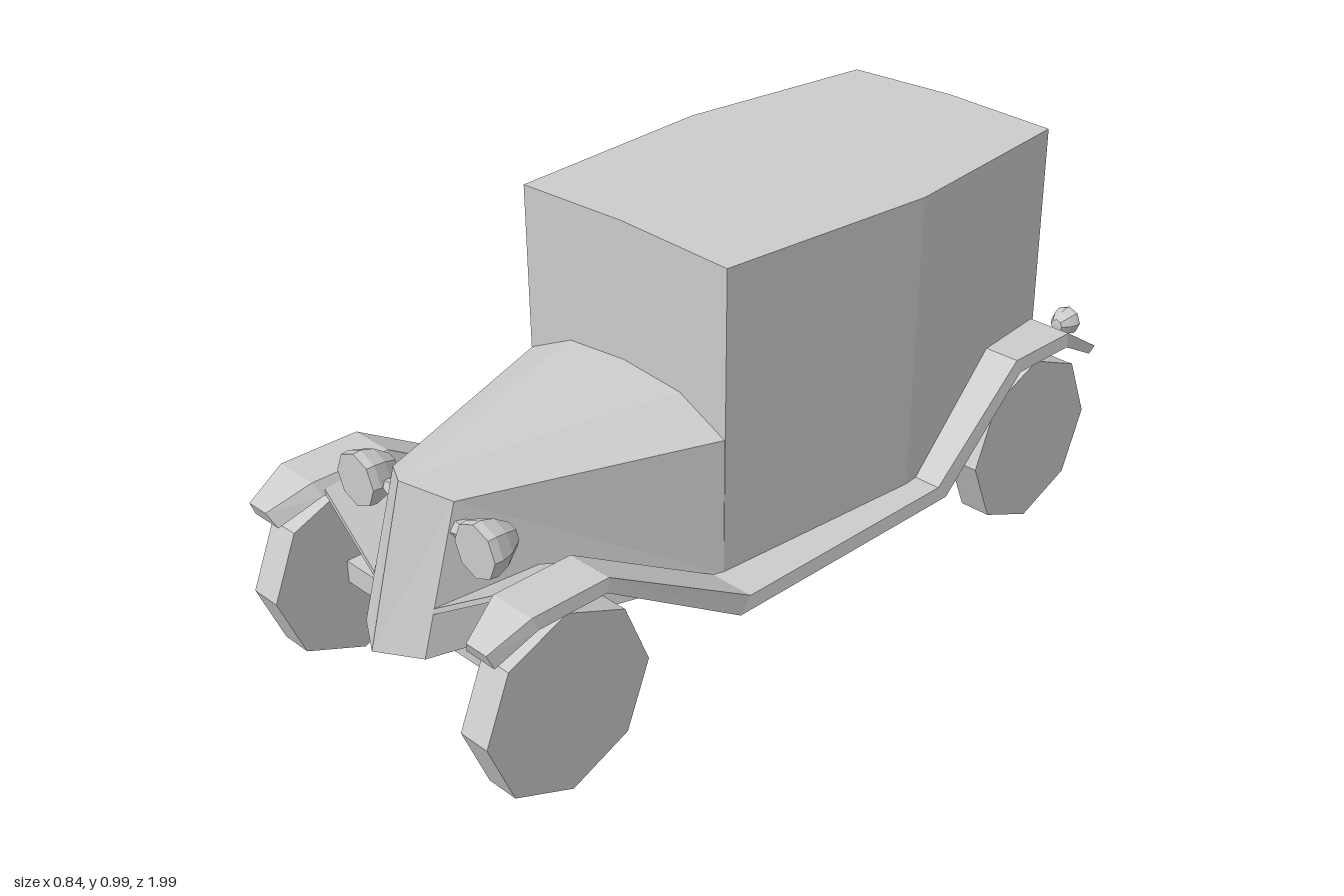
import * as THREE from 'three';

const material = new THREE.MeshStandardMaterial({ color: 0xcccccc, flatShading: true, side: THREE.DoubleSide });

// Solid through cross-sections ordered from back to front, corners counter-clockwise seen from +z
function loft(sections) {
  const pos = [];
  const tri = (a, b, c) => {
    const [p, q, r] = [a, b, c].map((v) => new THREE.Vector3(...v));
    if (q.clone().sub(p).cross(r.clone().sub(p)).length() > 1e-8) pos.push(...a, ...b, ...c);
  };
  for (let s = 0; s < sections.length - 1; s++) {
    const a = sections[s], b = sections[s + 1];
    for (let i = 0; i < a.length; i++) {
      const j = (i + 1) % a.length;
      tri(a[i], a[j], b[j]);
      tri(a[i], b[j], b[i]);
    }
  }
  const back = sections[0], front = sections[sections.length - 1];
  for (let i = 1; i < back.length - 1; i++) {
    tri(back[0], back[i + 1], back[i]);
    tri(front[0], front[i], front[i + 1]);
  }
  const geometry = new THREE.BufferGeometry();
  geometry.setAttribute('position', new THREE.Float32BufferAttribute(pos, 3));
  geometry.computeVertexNormals();
  return geometry;
}

// Reflects sections across x = 0 when side is -1
const sided = (sections, side) => side > 0 ? sections
  : sections.map((s) => s.map(([x, y, z]) => [-x, y, z]).reverse());

// Eight-sided lamp with its flat lens facing +z
function lampGeometry(r) {
  const profile = [[0, -1.45], [0.45, -1.4], [0.85, -0.8], [1, -0.3], [0.97, 0], [0, 0]];
  return new THREE.LatheGeometry(profile.map(([x, y]) => new THREE.Vector2(x * r, y * r)), 8).rotateX(Math.PI / 2);
}

export function createModel() {
  const model = new THREE.Group();
  const add = (name, geometry, x = 0, y = 0, z = 0) => {
    const mesh = new THREE.Mesh(geometry, material);
    mesh.name = name;
    mesh.position.set(x, y, z);
    model.add(mesh);
    return mesh;
  };

  // Cabin: bulging sides and a shallow peaked roof
  add('cabin', loft([[-0.84, 0.3, 0.3], [-0.31, 0.35, 0.36], [0.26, 0.31, 0.315]].map(([z, low, high]) => [
    [-low, 0.245, z], [low, 0.245, z], [high, 0.98, z], [0, 0.99, z], [-high, 0.98, z],
  ])));

  // Hood tapering to a V-shaped radiator that leans back
  add('hood', loft([
    [[0, 0.245, 0.26], [0.31, 0.245, 0.26], [0.31, 0.58, 0.26], [0.175, 0.645, 0.26],
      [0, 0.66, 0.26], [-0.175, 0.645, 0.26], [-0.31, 0.58, 0.26], [-0.31, 0.245, 0.26]],
    [[0, 0.245, 0.98], [0.1, 0.245, 0.92], [0.1, 0.58, 0.82], [0, 0.612, 0.88],
      [0, 0.612, 0.88], [0, 0.612, 0.88], [-0.1, 0.58, 0.82], [-0.1, 0.245, 0.92]],
  ]));

  add('floor', new THREE.BoxGeometry(0.72, 0.033, 0.66), 0, 0.233, -0.03);

  // Fender stations: top z, top y, bottom z, bottom y, inner x, outer x
  const fender = [
    [-0.99, 0.385, -0.96, 0.375, 0.29, 0.395],
    [-0.83, 0.485, -0.82, 0.452, 0.28, 0.42],
    [-0.625, 0.485, -0.635, 0.452, 0.28, 0.42],
    [-0.35, 0.25, -0.375, 0.217, 0.28, 0.42],
    [0.285, 0.25, 0.32, 0.217, 0.28, 0.42],
    [0.69, 0.485, 0.7, 0.455, 0.28, 0.42],
    [0.89, 0.485, 0.88, 0.455, 0.28, 0.42],
    [0.99, 0.437, 0.975, 0.402, 0.315, 0.4],
  ].map(([zt, yt, zb, yb, xi, xo]) => [
    [xo, yb, zb], [xo - 0.005, yt, zt], [xi + 0.02, yt, zt], [xi, yb, zb],
  ]);

  // Apron stations: outer point and inner point of the sheet between fender and hood
  const apron = [
    [[0.31, 0.235, 0.31], [0.25, 0.225, 0.33]],
    [[0.3, 0.468, 0.69], [0.16, 0.385, 0.66]],
    [[0.285, 0.468, 0.87], [0.1, 0.355, 0.89]],
  ].map(([o, i]) => [
    [o[0], o[1] - 0.014, o[2]], o, i, [i[0], i[1] - 0.014, i[2]],
  ]);

  for (const side of [1, -1]) {
    const label = side > 0 ? 'left' : 'right';
    add(label + 'FenderAndRunningBoard', loft(sided(fender, side)));
    add(label + 'Apron', loft(sided(apron, side)));

    // Headlamp and its bracket
    add(label + 'Headlamp', lampGeometry(0.065), side * 0.197, 0.518, 0.85);
    const bracket = new THREE.CylinderGeometry(0.012, 0.028, 0.05, 6).rotateZ(-side * Math.PI / 2);
    add(label + 'HeadlampBracket', bracket, side * 0.12, 0.515, 0.81);

    // Tail lamp facing backwards
    add(label + 'TailLamp', lampGeometry(0.036).rotateY(Math.PI), side * 0.348, 0.467, -0.925);
  }

  // Wheels and axles
  for (const [end, z] of [['front', 0.785], ['rear', -0.735]]) {
    for (const side of [1, -1]) {
      const wheel = new THREE.CylinderGeometry(0.217, 0.217, 0.08, 8).rotateZ(Math.PI / 2);
      add(end + (side > 0 ? 'Left' : 'Right') + 'Wheel', wheel, side * 0.355, 0.219, z);
    }
    add(end + 'Axle', new THREE.BoxGeometry(0.64, 0.055, 0.055), 0, 0.218, z);
  }

  add('spareWheel', new THREE.CylinderGeometry(0.217, 0.217, 0.08, 8).rotateX(Math.PI / 2), 0, 0.39, -0.88);

  return model;
}
